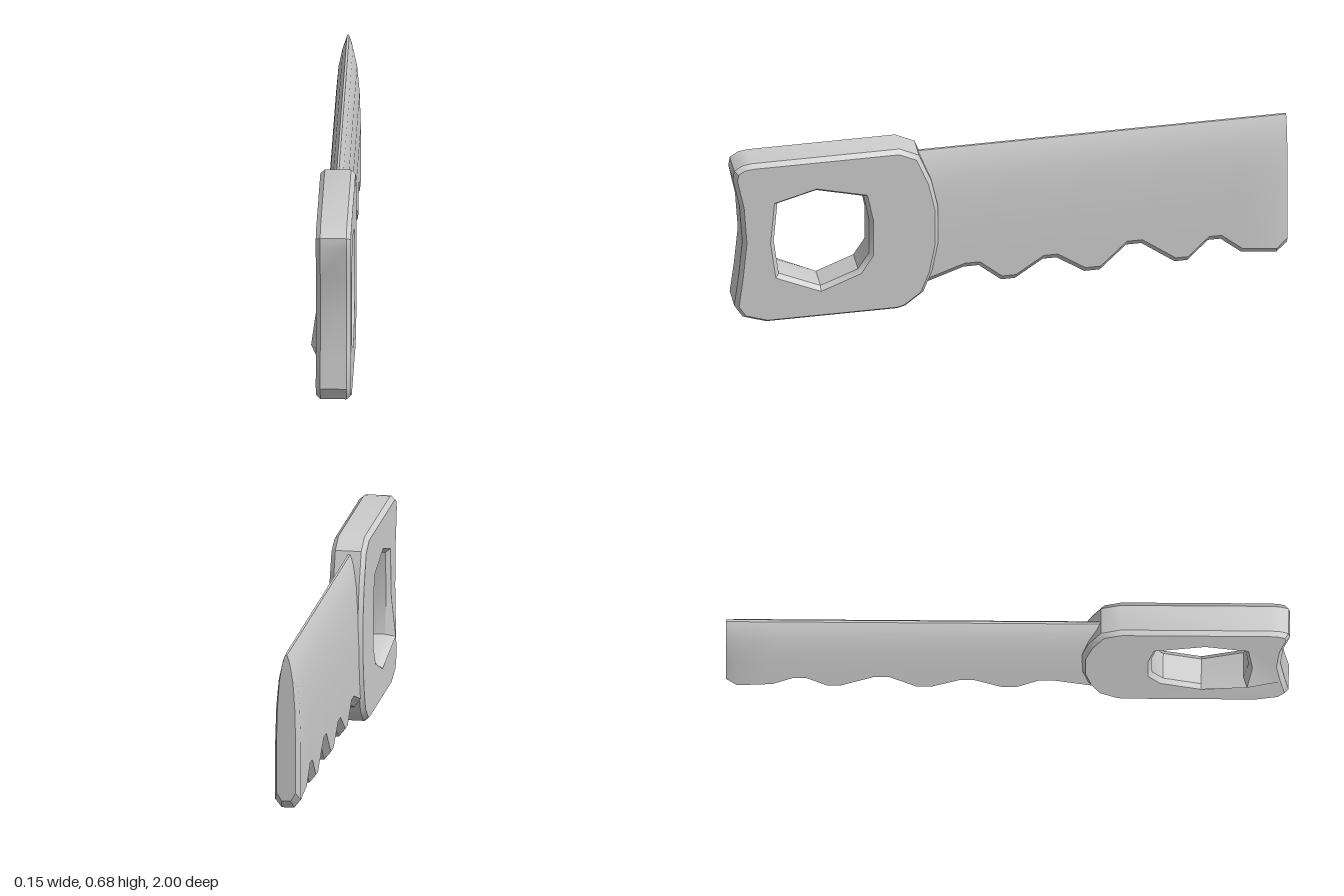
import * as THREE from 'three';
import { toCreasedNormals } from 'three/addons/utils/BufferGeometryUtils.js';

const material = new THREE.MeshStandardMaterial({ color: 0xcccccc });
const toPoints = (list) => list.map(([z, y]) => new THREE.Vector2(z, y));

// Handle: bevelled plate with an angular grip hole, drawn in (z, y)
function createHandle() {
  const shape = new THREE.Shape(toPoints([
    [0.965, 0.675], [0.93, 0.68], [0.4, 0.68], [0.33, 0.645], [0.285, 0.53], [0.262, 0.42],
    [0.262, 0.26], [0.283, 0.145], [0.315, 0.06], [0.38, 0.008], [0.41, 0], [0.88, 0],
    [0.965, 0.03], [0.995, 0.08], [0.98, 0.2], [0.966, 0.35], [0.976, 0.5], [1, 0.62], [0.995, 0.655],
  ]));
  shape.holes.push(new THREE.Path(toPoints([
    [0.7, 0.54], [0.53, 0.495], [0.51, 0.39], [0.51, 0.25], [0.55, 0.185],
    [0.685, 0.13], [0.835, 0.2], [0.853, 0.34], [0.84, 0.5],
  ])));
  const bevel = 0.016;
  const geometry = new THREE.ExtrudeGeometry(shape, {
    depth: 0.125 - 2 * bevel, bevelThickness: bevel, bevelSize: 0.014, bevelOffset: -0.014, bevelSegments: 1,
  });
  geometry.rotateY(-Math.PI / 2);
  geometry.translate(0.07 - bevel, 0, 0);

  // One corner of the grip hole bulges out on the right face
  const p = geometry.attributes.position;
  for (let i = 0; i < p.count; i++) {
    const distance = Math.hypot(p.getZ(i) - 0.845, p.getY(i) - 0.19);
    if (distance < 0.03 && p.getX(i) < -0.05) p.setX(i, -0.075);
  }
  return new THREE.Mesh(toCreasedNormals(geometry, 0.6), material);
}

// Blade: cross-sections lofted along z, following the wavy toothed edge
function createBlade() {
  const edge = [
    [0.33, 0.07], [0.165, 0.13], [0.11, 0.13], [0.03, 0.06], [-0.02, 0.06], [-0.12, 0.13],
    [-0.17, 0.13], [-0.27, 0.06], [-0.325, 0.06], [-0.42, 0.155], [-0.475, 0.155], [-0.595, 0.063],
    [-0.64, 0.063], [-0.715, 0.14], [-0.76, 0.14], [-0.835, 0.075], [-0.96, 0.06], [-1, 0.095],
  ];
  const centre = 0.004;
  const vertices = [];
  const indices = [];
  let ringSize = 0;

  edge.forEach(([z, bottom], i) => {
    const widthScale = i === edge.length - 1 ? 0.75 : 1;
    // Half-width and height, from the thin spine down to the bevelled teeth
    const side = [
      [0.004, 0.633], [0.018, 0.6], [0.033, 0.53], [0.042, 0.43],
      [0.046, 0.3], [0.046, bottom + 0.03], [0.022, bottom],
    ];
    const ring = [
      ...side.map(([w, y]) => [-w, y]),
      ...side.slice().reverse().map(([w, y]) => [w, y]),
    ];
    ringSize = ring.length;
    ring.forEach(([x, y]) => vertices.push(centre + x * widthScale, y, z));
  });

  for (let i = 0; i < edge.length - 1; i++) {
    for (let j = 0; j < ringSize; j++) {
      const k = (j + 1) % ringSize;
      const a = i * ringSize;
      const b = a + ringSize;
      indices.push(a + j, b + j, b + k, a + j, b + k, a + k);
    }
  }
  // End caps
  const last = (edge.length - 1) * ringSize;
  for (let j = 1; j < ringSize - 1; j++) {
    indices.push(0, j, j + 1, last, last + j + 1, last + j);
  }

  const geometry = new THREE.BufferGeometry();
  geometry.setAttribute('position', new THREE.Float32BufferAttribute(vertices, 3));
  geometry.setIndex(indices);
  return new THREE.Mesh(toCreasedNormals(geometry, 0.5), material);
}

export function createModel() {
  const group = new THREE.Group();
  group.name = 'handSaw';
  const handle = createHandle();
  handle.name = 'handle';
  const blade = createBlade();
  blade.name = 'blade';
  group.add(handle, blade);
  return group;
}
